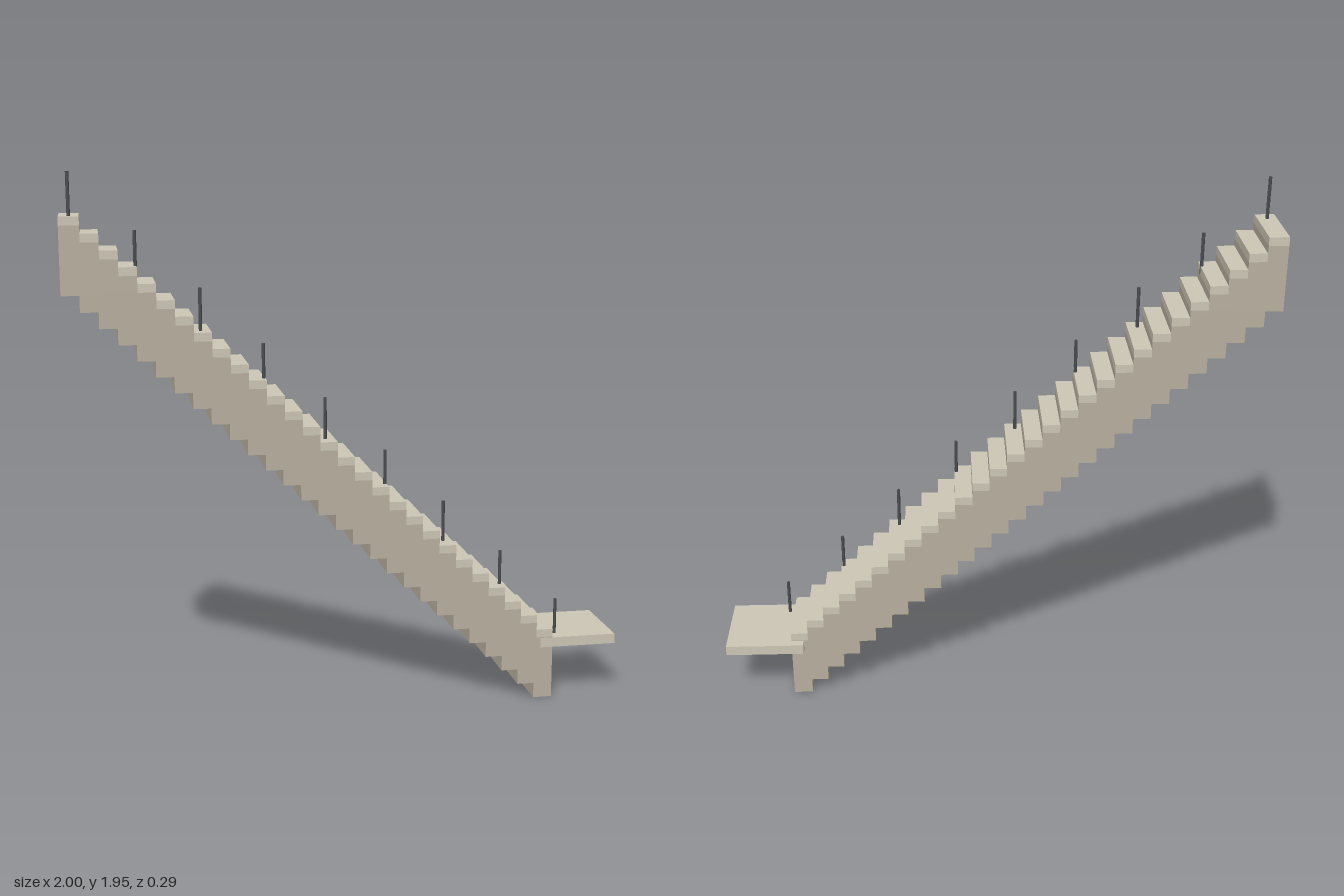
import * as THREE from 'three';

const STEPS = 28, RUN = 0.0625, RISE = 0.0569, LAP = 0.007;
const TREAD_H = 0.03, BLOCK_H = 0.235;
const Z_BACK = -0.115, Z_FRONT = 0.145;

export function createModel() {
  const group = new THREE.Group();
  group.name = 'staircase';
  const stone = new THREE.MeshStandardMaterial({ color: 0xb9b0a0 });
  const slab = new THREE.MeshStandardMaterial({ color: 0xcdc7b6 });
  const metal = new THREE.MeshStandardMaterial({ color: 0x4a4d50 });

  const add = (name, geometry, material, x, y, z) => {
    const mesh = new THREE.Mesh(geometry, material);
    mesh.name = name;
    mesh.position.set(x, y, z);
    group.add(mesh);
    return mesh;
  };
  const left = i => -1 + i * RUN;
  const right = i => left(i) + RUN + LAP;
  const base = i => (STEPS - 1 - i) * RISE;

  // Solid flight, stepped along both its upper and lower edge
  const outline = [];
  for (let i = 0; i < STEPS; i++) {
    const y = base(i) + BLOCK_H;
    outline.push(new THREE.Vector2(i ? right(i - 1) : left(0), y), new THREE.Vector2(right(i), y));
  }
  for (let i = STEPS - 1; i >= 0; i--) {
    const end = i === STEPS - 1 ? right(i) : left(i + 1);
    outline.push(new THREE.Vector2(end, base(i)), new THREE.Vector2(left(i), base(i)));
  }
  const flight = new THREE.ExtrudeGeometry(new THREE.Shape(outline), {
    depth: Z_FRONT - Z_BACK, bevelEnabled: false,
  });
  add('flight', flight, stone, 0, 0, Z_BACK);

  // Tread slabs on top of each step
  for (let i = 0; i < STEPS; i++) {
    const x0 = i ? right(i - 1) : left(0);
    const w = right(i) - x0;
    add(`tread${i + 1}`, new THREE.BoxGeometry(w, TREAD_H, Z_FRONT - Z_BACK), slab,
      x0 + w / 2, base(i) + BLOCK_H + TREAD_H / 2, (Z_FRONT + Z_BACK) / 2);
  }

  // Landing at the foot, slightly deeper than the flight
  add('landing', new THREE.BoxGeometry(0.29, 0.037, 0.291), slab, 0.855, 0.2135, 0);

  // Railing posts along the front edge
  const post = new THREE.CylinderGeometry(0.006, 0.006, 0.15, 8);
  for (let i = 0; i < 9; i++) {
    add(`post${i + 1}`, post, metal, -0.965 + i * 0.218, 1.875 - i * 0.198, 0.095);
  }
  return group;
}
